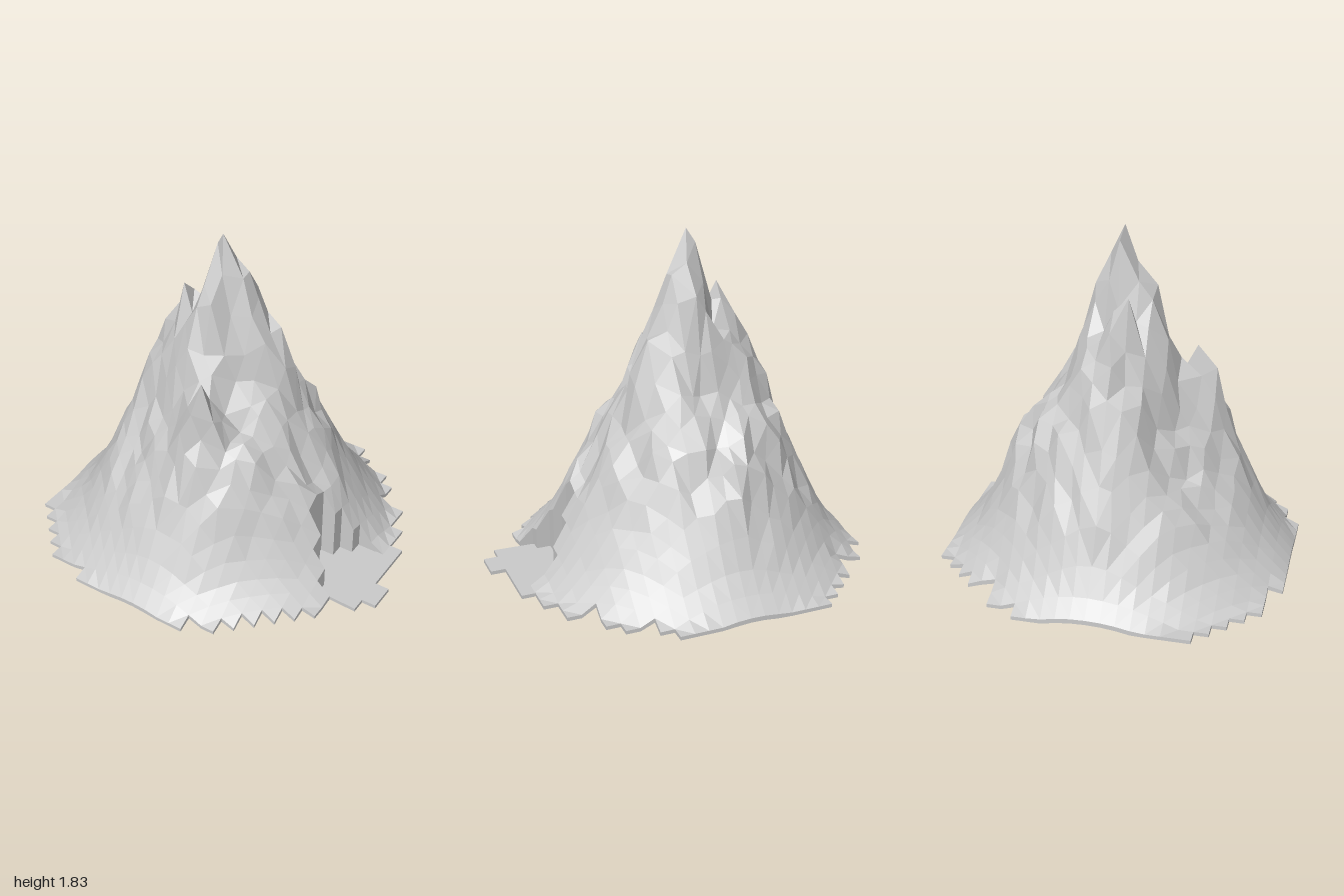
import * as THREE from 'three';

const N = 24, CELL = 2 / 26;
const PEAK = { x: -0.1, z: 0, y: 1.83 };

// First and last cell of each row, from back to front
const ROW_START = [6, 5, 4, 3, 3, 1, 1, 0, 0, 0, 0, 0, 0, 0, 0, 0, 0, 0, 0, 1, 2, 3, 4, 7];
const ROW_END = [17, 18, 20, 21, 21, 23, 23, 24, 24, 24, 24, 24, 24, 24, 24, 24, 23, 23, 22, 21, 20, 19, 18, 16];

// Slope profiles by compass angle, starting at +x and turning towards +z
const RADII = [0, 0.1, 0.2, 0.3, 0.4, 0.5, 0.6, 0.7, 0.8, 0.94];
const PROFILES = [
  { angle: 0, heights: [1.83, 1.58, 1.38, 1.10, 0.83, 0.69, 0.50, 0.34, 0.17, 0.02] },
  { angle: 22, heights: [1.83, 1.50, 1.22, 0.98, 0.83, 0.70, 0.50, 0.32, 0.16, 0.02] },
  { angle: 45, heights: [1.83, 1.45, 1.10, 0.88, 0.80, 0.77, 0.54, 0.31, 0.15, 0.02] },
  { angle: 60, heights: [1.83, 1.52, 1.17, 0.93, 0.84, 0.80, 0.62, 0.37, 0.17, 0.02] },
  { angle: 75, heights: [1.83, 1.65, 1.33, 1.10, 1.18, 1.00, 0.67, 0.40, 0.19, 0.02] },
  { angle: 92, heights: [1.83, 1.68, 1.35, 1.06, 0.94, 0.75, 0.53, 0.35, 0.18, 0.02] },
  { angle: 112, heights: [1.83, 1.60, 1.32, 1.00, 0.75, 0.58, 0.45, 0.30, 0.16, 0.02] },
  { angle: 135, heights: [1.83, 1.55, 1.36, 1.02, 0.73, 0.58, 0.46, 0.30, 0.15, 0.02] },
  { angle: 160, heights: [1.83, 1.65, 1.40, 1.20, 0.98, 0.75, 0.54, 0.33, 0.15, 0.02] },
  { angle: 180, heights: [1.83, 1.70, 1.42, 1.27, 1.06, 0.87, 0.62, 0.38, 0.16, 0.01] },
  { angle: 225, heights: [1.83, 1.55, 1.28, 1.08, 0.95, 0.76, 0.53, 0.32, 0.16, 0.02] },
  { angle: 270, heights: [1.83, 1.62, 1.27, 1.00, 0.87, 0.75, 0.56, 0.35, 0.17, 0.02] },
  { angle: 315, heights: [1.83, 1.63, 1.42, 1.20, 0.97, 0.76, 0.56, 0.37, 0.20, 0.02] },
];

// Side peaks and notches: x, z, height change, spread
const BUMPS = [
  [-0.31, 0.08, 0.17, 0.045], [-0.52, 0.03, 0.1, 0.045],
  [-0.231, -0.08, -0.13, 0.035], [-0.231, 0, -0.18, 0.035], [-0.231, 0.08, -0.14, 0.035],
  [-0.07, -0.154, 0.09, 0.04], [0.16, -0.12, 0.12, 0.05],
  [0.35, 0.09, 0.05, 0.04], [0.43, 0, -0.12, 0.05], [0.54, 0.08, 0.05, 0.05], [-0.15, -0.54, 0.05, 0.06],
];

function seeded(seed) {
  return () => {
    seed = (seed * 1664525 + 1013904223) % 4294967296;
    return seed / 2147483648 - 1;
  };
}

function sampleProfile(profile, r) {
  let k = 0;
  while (k < RADII.length - 2 && r > RADII[k + 1]) k++;
  const t = Math.min(1, (r - RADII[k]) / (RADII[k + 1] - RADII[k]));
  return THREE.MathUtils.lerp(profile.heights[k], profile.heights[k + 1], t);
}

function heightAt(x, z) {
  const dx = x - PEAK.x, dz = z - PEAK.z;
  const r = Math.hypot(dx, dz);
  const angle = (THREE.MathUtils.radToDeg(Math.atan2(dz, dx)) + 360) % 360;
  const s = PROFILES.findLastIndex((p) => p.angle <= angle);
  const from = PROFILES[s], to = PROFILES[(s + 1) % PROFILES.length];
  const t = (angle - from.angle) / ((to.angle || 360) - from.angle);
  let h = THREE.MathUtils.lerp(sampleProfile(from, r), sampleProfile(to, r), t);
  for (const [bx, bz, amount, spread] of BUMPS) {
    h += amount * Math.exp(-((x - bx) ** 2 + (z - bz) ** 2) / (2 * spread * spread));
  }
  return h;
}

// Cells of the cave mouth, cut out of the +x side
function isMouth(i, j) {
  if (j < 10 || j > 15) return false;
  const start = j === 12 || j === 13 ? 20 : j === 10 || j === 15 ? 22 : 21;
  return i >= start;
}

function hasCell(i, j) {
  if (j < 0 || j >= N || i < ROW_START[j] || i >= ROW_END[j]) return false;
  return !isMouth(i, j);
}

function makeVertices() {
  const rand = seeded(17);
  const points = [];
  for (let j = 0; j <= N; j++) {
    for (let i = 0; i <= N; i++) {
      const x = -1 + i * CELL, z = (j - N / 2) * CELL;
      const a = rand(), b = rand(), c = rand();
      const edge = !(hasCell(i, j) && hasCell(i - 1, j) && hasCell(i, j - 1) && hasCell(i - 1, j - 1));
      const cave = i >= 19 && i < 23 && j >= 10 && j <= 16;
      const p = new THREE.Vector3(x, heightAt(x, z), z);
      if (edge && !cave) {
        p.y = THREE.MathUtils.clamp(p.y, 0.02, 0.07);
      } else if (Math.hypot(x - PEAK.x, z) < 0.04) {
        p.set(PEAK.x, PEAK.y, PEAK.z);
      } else if (!edge) {
        // Rough crags, strongest halfway up
        const rough = THREE.MathUtils.smoothstep(p.y, 0.2, 0.6);
        p.x += a * 0.018 * rough;
        p.z += b * 0.018 * rough;
        p.y += c * 0.045 * rough;
      }
      points.push(p);
    }
  }
  return points;
}

// Each quad is split along its flatter diagonal
function buildGeometry(quads) {
  const positions = [];
  for (const [a, b, c, d] of quads) {
    const flat = Math.abs(a.y - c.y) <= Math.abs(b.y - d.y);
    const corners = flat ? [a, b, c, a, c, d] : [a, b, d, b, c, d];
    for (const p of corners) positions.push(p.x, p.y, p.z);
  }
  const geometry = new THREE.BufferGeometry();
  geometry.setAttribute('position', new THREE.Float32BufferAttribute(positions, 3));
  geometry.computeVertexNormals();
  return geometry;
}

export function createModel() {
  const model = new THREE.Group();
  model.name = 'mountain';
  const rock = new THREE.MeshStandardMaterial({ color: 0xcccccc, flatShading: true, side: THREE.DoubleSide });
  const add = (name, geometry) => {
    const mesh = new THREE.Mesh(geometry, rock);
    mesh.name = name;
    model.add(mesh);
  };

  // Hollow mountain shell with a thin rim, and walls around the cave mouth
  const points = makeVertices();
  const at = (i, j) => points[j * (N + 1) + i];
  const lowered = (p, depth) => new THREE.Vector3(p.x, Math.max(0, p.y - depth), p.z);
  const slopes = [], rim = [], caveWalls = [];
  for (let j = 0; j < N; j++) {
    for (let i = 0; i < N; i++) {
      if (!hasCell(i, j)) continue;
      const corners = [at(i, j), at(i, j + 1), at(i + 1, j + 1), at(i + 1, j)];
      slopes.push(corners);
      const neighbours = [[i - 1, j], [i, j + 1], [i + 1, j], [i, j - 1]];
      neighbours.forEach(([ni, nj], k) => {
        if (hasCell(ni, nj)) return;
        const p = corners[k], q = corners[(k + 1) % 4];
        const mouth = isMouth(ni, nj);
        const depth = mouth ? 1 : 0.025;
        (mouth ? caveWalls : rim).push([p, lowered(p, depth), lowered(q, depth), q]);
      });
    }
  }
  add('mountainSlopes', buildGeometry(slopes));
  add('rim', buildGeometry(rim));
  add('caveWalls', buildGeometry(caveWalls));

  // Flat stone floor leading out of the cave
  const outline = [
    [0.4, -0.1], [0.62, -0.15], [0.8, -0.15], [0.85, -0.24], [0.92, -0.24], [0.92, 0.07],
    [1, 0.07], [1, 0.22], [0.92, 0.22], [0.92, 0.3], [0.7, 0.29], [0.4, 0.2],
  ].map(([x, z]) => new THREE.Vector2(x, z));
  const floor = new THREE.ExtrudeGeometry(new THREE.Shape(outline), { depth: 0.02, bevelEnabled: false });
  floor.rotateX(Math.PI / 2).translate(0, 0.02, 0);
  add('caveFloor', floor);

  return model;
}
